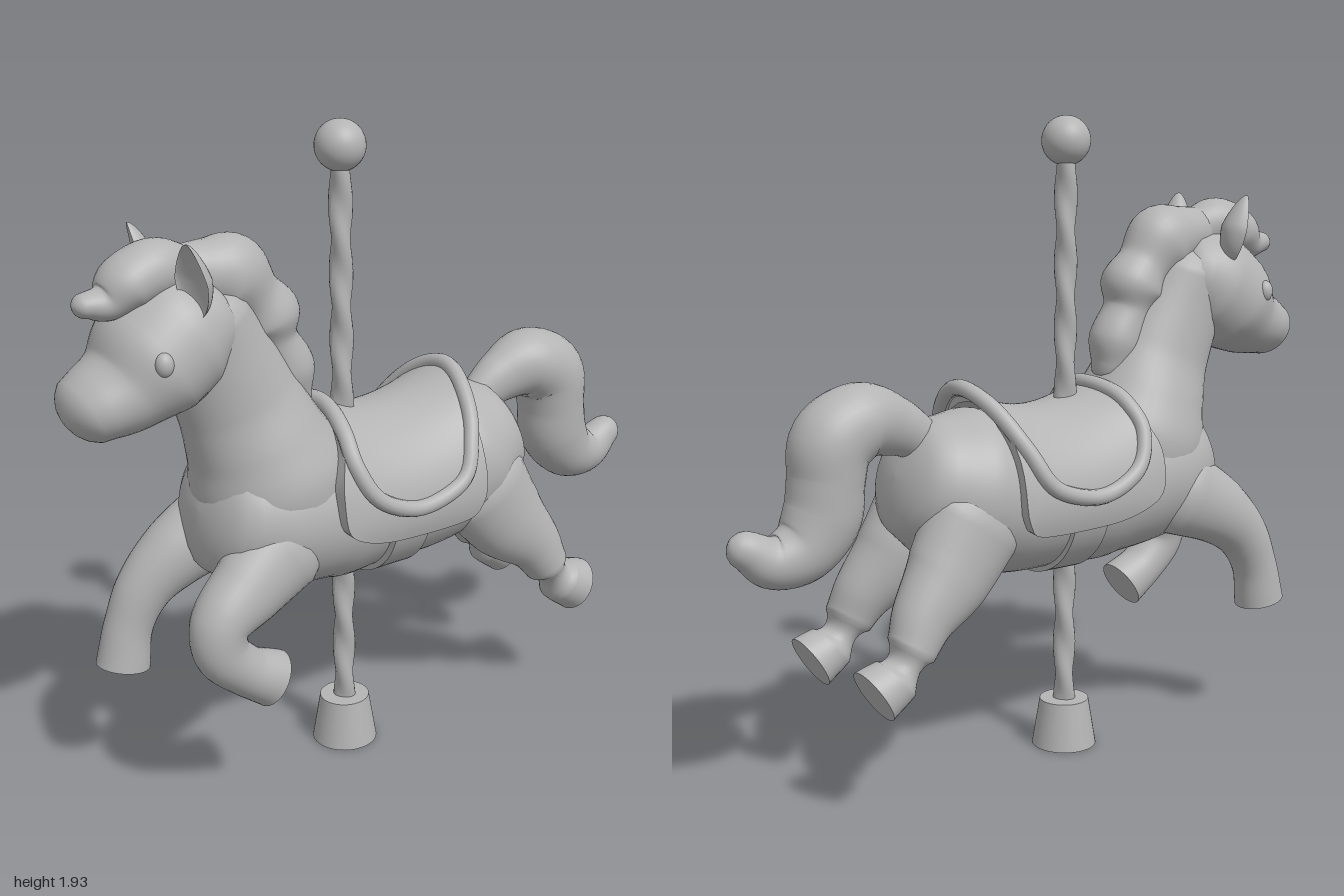
import * as THREE from 'three';

const V = (x, y, z) => new THREE.Vector3(x, y, z);
const BODY = { y: 0.835, h: 0.235, w: 0.235 }; // barrel cross-section under the saddle

function gridGeometry(rings, skip = -1) {
  const n = rings[0].length, index = [];
  for (let i = 0; i < rings.length - 1; i++) {
    if (i === skip) continue;
    for (let j = 0; j < n; j++) {
      const k = (j + 1) % n, a = i * n, b = a + n;
      index.push(a + j, a + k, b + k, a + j, b + k, b + j);
    }
  }
  const g = new THREE.BufferGeometry().setFromPoints(rings.flat());
  g.setIndex(index);
  g.computeVertexNormals();
  return g;
}

// Smooth loft through sections [x, y, z, halfWidth, halfHeight];
// ends are rounded by cap lengths, an end length of 0 gives a flat, sharp end
function loft(sections, startCap, endCap, sides = 32) {
  const path = new THREE.CatmullRomCurve3(sections.map(s => V(s[0], s[1], s[2])));
  const size = new THREE.CatmullRomCurve3(sections.map(s => V(s[3], s[4], 0)));
  const steps = (sections.length - 1) * 7, rings = [];
  const ring = (u, scale, push) => {
    const t = path.getTangent(u).setX(0).normalize();
    const nrm = t.clone().cross(V(1, 0, 0));
    const c = path.getPoint(u).addScaledVector(t, push), s = size.getPoint(u);
    rings.push(Array.from({ length: sides }, (_, j) => {
      const a = j / sides * Math.PI * 2;
      return c.clone().add(V(s.x * scale * Math.cos(a), 0, 0)).addScaledVector(nrm, s.y * scale * Math.sin(a));
    }));
  };
  const dome = [0.001, 0.25, 0.5, 0.72, 0.9];
  dome.forEach(r => ring(0, r, -startCap * Math.sqrt(1 - r * r)));
  for (let i = 0; i <= steps; i++) ring(i / steps, 1, 0);
  let skip = -1;
  if (endCap > 0) [...dome].reverse().forEach(r => ring(1, r, endCap * Math.sqrt(1 - r * r)));
  else { skip = rings.length - 1; ring(1, 1, 0); ring(1, 0.001, 0); }
  return gridGeometry(rings, skip);
}

// Point on the barrel at length z and angle a from the top, raised by o
function wrap(z, a, o) {
  const lift = 1.1 * z * z * Math.max(0, Math.cos(a));
  return V((BODY.w + o) * Math.sin(a), BODY.y + (BODY.h + o * 0.5) * Math.cos(a) + lift, z);
}

// Closed outline from one half, given as [z, degrees]
function outline(half) {
  const rad = half.map(([z, d]) => V(z, d * Math.PI / 180, 0));
  const other = rad.slice(1, -1).reverse().map(p => V(p.x, -p.y, 0));
  return new THREE.CatmullRomCurve3([...rad, ...other], true).getPoints(95).slice(0, 95);
}

function pad(loop, o) {
  const rings = [];
  for (let i = 0; i <= 24; i++) rings.push(loop.map(p => wrap(p.x * i / 24, p.y * i / 24, o)));
  rings.push(loop.map(p => wrap(p.x, p.y, o)), loop.map(p => wrap(p.x, p.y, -0.01)));
  return gridGeometry(rings, 24);
}

export function createModel() {
  const model = new THREE.Group();
  model.name = 'carouselHorse';
  const grey = new THREE.MeshStandardMaterial({ color: 0xb4b4b4, side: THREE.DoubleSide });
  grey.name = 'grey';
  const add = (name, geometry, x = 0, y = 0, z = 0) => {
    const m = new THREE.Mesh(geometry, grey);
    m.name = name;
    m.position.set(x, y, z);
    model.add(m);
    return m;
  };

  // Barrel, neck and head
  add('body', loft([
    [0, 0.91, -0.40, 0.19, 0.185], [0, 0.87, -0.27, 0.24, 0.238], [0, 0.835, -0.12, 0.237, 0.235],
    [0, 0.835, 0.06, 0.235, 0.235], [0, 0.835, 0.24, 0.235, 0.235],
    [0, 0.85, 0.40, 0.235, 0.23], [0, 0.88, 0.53, 0.205, 0.2],
  ], 0.085, 0.09, 48));
  add('neck', loft([
    [0, 0.80, 0.31, 0.2, 0.2], [0, 0.95, 0.38, 0.225, 0.235], [0, 1.08, 0.43, 0.19, 0.2],
    [0, 1.2, 0.48, 0.15, 0.177], [0, 1.33, 0.54, 0.14, 0.16], [0, 1.45, 0.59, 0.14, 0.14],
  ], 0.05, 0.08, 40));
  add('head', loft([
    [0, 1.46, 0.575, 0.145, 0.135], [0, 1.42, 0.66, 0.18, 0.175], [0, 1.36, 0.745, 0.185, 0.17],
    [0, 1.30, 0.83, 0.155, 0.125], [0, 1.268, 0.91, 0.132, 0.1],
  ], 0.06, 0.09, 40));

  // Eyes, nostrils and scooped ears
  for (const s of [1, -1]) {
    add('eye', new THREE.SphereGeometry(0.03, 20, 14), s * 0.166, 1.395, 0.785).scale.set(0.8, 1.1, 0.85);
    add('nostril', new THREE.TorusGeometry(0.014, 0.006, 8, 16), s * 0.085, 1.28, 0.968).rotation.y = s * 0.6;
    const ear = new THREE.SphereGeometry(1, 28, 24), p = ear.attributes.position;
    for (let i = 0; i < p.count; i++) {
      const y = p.getY(i), taper = y > 0 ? 1 - 0.4 * y : 1, z = p.getZ(i);
      p.setXYZ(i, p.getX(i) * 0.056 * taper, y * 0.105, (z > 0 ? -0.35 * z : z) * 0.055 * taper + 0.018);
    }
    ear.computeVertexNormals();
    add('ear', ear, s * 0.14, 1.595, 0.67).rotation.set(0.22, s * 0.3, s * -0.13);
  }

  // Lobed mane, forelock and curled tail
  add('mane', loft([
    [0, 1.575, 0.67, 0.06, 0.075], [0, 1.57, 0.57, 0.085, 0.09], [0, 1.55, 0.49, 0.1, 0.115],
    [0, 1.48, 0.42, 0.083, 0.085], [0, 1.42, 0.378, 0.095, 0.1], [0, 1.35, 0.355, 0.073, 0.07],
    [0, 1.26, 0.315, 0.08, 0.083], [0, 1.18, 0.29, 0.06, 0.052],
  ], 0.04, 0.05));
  add('forelock', loft([
    [0, 1.58, 0.63, 0.06, 0.07], [0, 1.6, 0.72, 0.085, 0.082], [0, 1.575, 0.80, 0.088, 0.075],
    [0, 1.535, 0.86, 0.06, 0.05], [0, 1.535, 0.91, 0.042, 0.035],
  ], 0.04, 0.04));
  add('tail', loft([
    [0, 1.02, -0.38, 0.05, 0.06], [0, 1.075, -0.48, 0.075, 0.085], [0, 1.1, -0.59, 0.11, 0.11],
    [0, 1.05, -0.68, 0.115, 0.118], [0, 0.95, -0.70, 0.11, 0.108], [0, 0.85, -0.715, 0.105, 0.112],
    [0, 0.765, -0.78, 0.09, 0.095], [0, 0.745, -0.87, 0.07, 0.075], [0, 0.785, -0.94, 0.052, 0.055],
  ], 0.04, 0.06));

  // Galloping legs with flat hoof soles
  for (const s of [1, -1]) add('hindLeg', loft([
    [s * 0.13, 0.8, -0.30, 0.11, 0.16], [s * 0.14, 0.66, -0.40, 0.105, 0.135], [s * 0.16, 0.56, -0.495, 0.085, 0.095],
    [s * 0.175, 0.48, -0.545, 0.073, 0.073], [s * 0.18, 0.41, -0.60, 0.073, 0.073], [s * 0.18, 0.372, -0.668, 0.082, 0.085],
  ], 0.09, 0));
  add('leftFrontLeg', loft([
    [0.13, 0.78, 0.42, 0.11, 0.14], [0.15, 0.70, 0.55, 0.1, 0.115], [0.17, 0.625, 0.655, 0.085, 0.085],
    [0.18, 0.545, 0.66, 0.074, 0.08], [0.18, 0.465, 0.59, 0.073, 0.073], [0.18, 0.408, 0.498, 0.077, 0.084],
  ], 0.08, 0));
  add('rightFrontLeg', loft([
    [-0.13, 0.79, 0.46, 0.11, 0.14], [-0.15, 0.71, 0.61, 0.1, 0.11], [-0.165, 0.62, 0.71, 0.08, 0.085],
    [-0.172, 0.51, 0.765, 0.07, 0.073], [-0.172, 0.39, 0.79, 0.076, 0.081],
  ], 0.08, 0));

  // Saddle: blanket, seat, raised rim and girth strap
  add('saddleBlanket', pad(outline([[0.215, 0], [0.25, 45], [0.295, 72], [0.27, 95], [0.17, 105],
    [0.08, 108], [-0.15, 108], [-0.2, 98], [-0.215, 60], [-0.22, 0]]), 0.036));
  const rim = outline([[0.205, 0], [0.23, 35], [0.235, 58], [0.17, 77], [0.04, 86], [-0.1, 79],
    [-0.18, 55], [-0.225, 30], [-0.255, 0]]);
  add('saddleSeat', pad(rim, 0.043));
  add('saddleRim', new THREE.TubeGeometry(
    new THREE.CatmullRomCurve3(rim.map(p => wrap(p.x, p.y, 0.043)), true), 120, 0.024, 12, true));
  const girth = new THREE.CylinderGeometry(0.252, 0.252, 0.12, 56);
  girth.rotateX(Math.PI / 2);
  add('girthStrap', girth, 0, BODY.y, 0.04);

  // Twisted pole with ball finial and foot
  const pole = new THREE.CylinderGeometry(1, 1, 1.7, 24, 130, true), q = pole.attributes.position;
  for (let i = 0; i < q.count; i++) {
    const a = Math.atan2(q.getZ(i), q.getX(i)), r = 0.031 + 0.004 * Math.cos(2 * a - 32 * q.getY(i));
    q.setXYZ(i, r * Math.cos(a), q.getY(i), r * Math.sin(a));
  }
  pole.computeVertexNormals();
  add('pole', pole, 0, 0.97, 0.122);
  add('poleBall', new THREE.SphereGeometry(0.073, 32, 24), 0, 1.86, 0.122);
  add('poleFoot', new THREE.CylinderGeometry(0.076, 0.1, 0.147, 40), 0, 0.0735, 0.122);
  return model;
}
